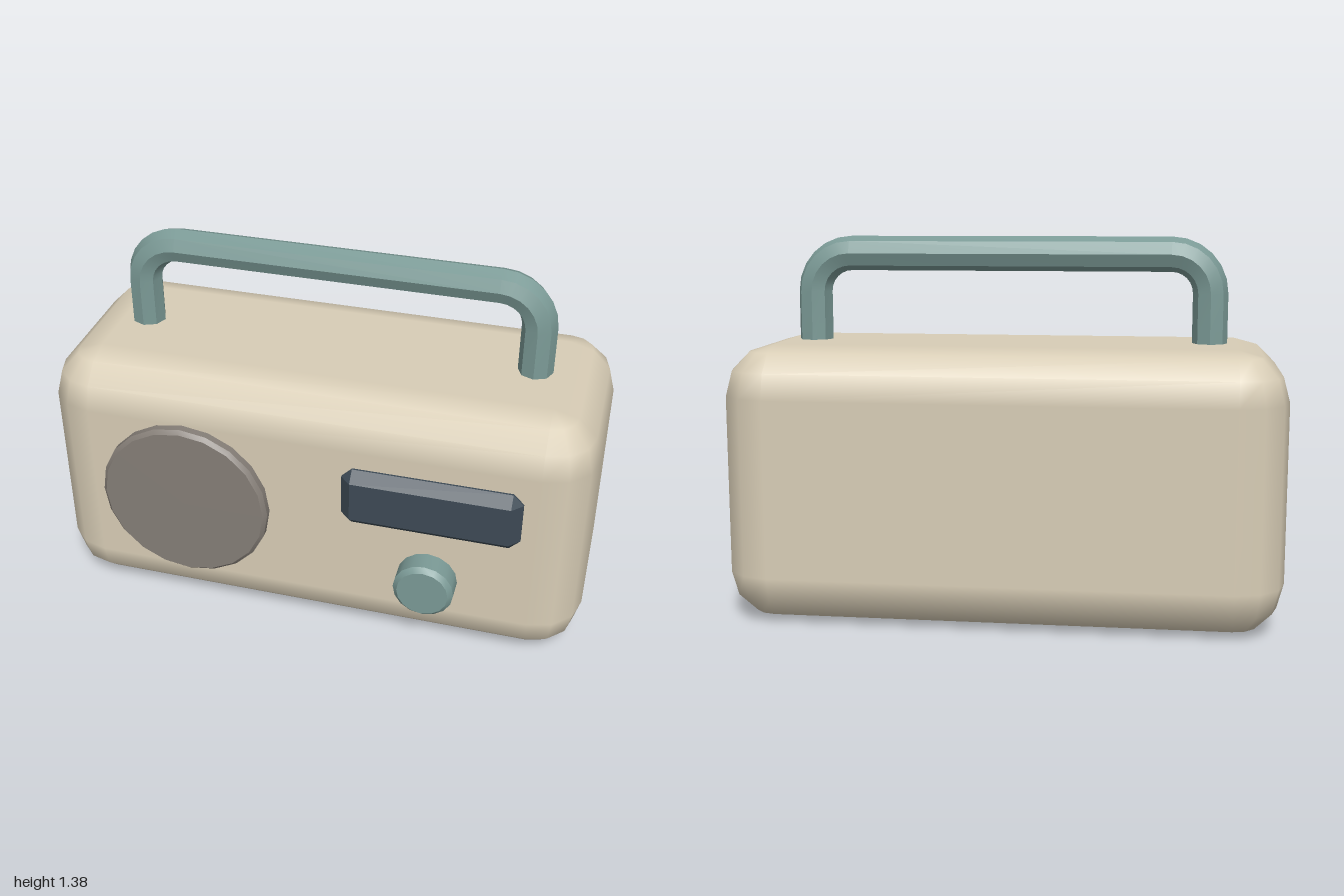
import * as THREE from 'three';
import { toCreasedNormals } from 'three/addons/utils/BufferGeometryUtils.js';

// Grid of vertices bent into shape by a rule fn(column, row) -> Vector3
function gridSurface(cols, rows, fn) {
  const geo = new THREE.PlaneGeometry(1, 1, cols, rows);
  const pos = geo.attributes.position;
  for (let r = 0, i = 0; r <= rows; r++) {
    for (let c = 0; c <= cols; c++, i++) {
      const p = fn(c, r);
      pos.setXYZ(i, p.x, p.y, p.z);
    }
  }
  geo.computeVertexNormals();
  return geo;
}

// Box whose edges are rounded in a given number of steps (1 = chamfer)
function roundedBox(w, h, d, radius, steps) {
  const n = steps + 1;
  const rows = 2 * n + 1;
  const core = new THREE.Vector3(w / 2 - radius, h / 2 - radius, d / 2 - radius);
  const normals = [];
  const geo = gridSurface(4 * n, rows, (c, r) => {
    const corner = Math.floor(c / n) % 4;
    const turn = (corner + (c % n) / steps) * Math.PI / 2;
    const isCap = r === 0 || r === rows;
    const k = Math.min(Math.max(r, 1), rows - 1) - 1;
    const upper = k < n;
    const lat = (1 - (upper ? k : k - 1) / steps) * Math.PI / 2;
    const dir = new THREE.Vector3(
      Math.cos(lat) * Math.sin(turn), Math.sin(lat), Math.cos(lat) * Math.cos(turn));
    normals.push(dir.x, dir.y, dir.z);
    const sx = isCap ? 0 : corner < 2 ? 1 : -1;
    const sz = isCap ? 0 : corner === 0 || corner === 3 ? 1 : -1;
    return new THREE.Vector3(sx * core.x, (upper ? 1 : -1) * core.y, sz * core.z)
      .addScaledVector(dir, radius);
  });
  geo.setAttribute('normal', new THREE.Float32BufferAttribute(normals, 3));
  return geo;
}

// Disc facing +z with a chamfered rim
function chamferedDisc(radius, back, front, bevel, sides) {
  const profile = [
    [radius, back], [radius, front - bevel], [radius - bevel, front], [0, front],
  ].map(([x, y]) => new THREE.Vector2(x, y));
  const geo = new THREE.LatheGeometry(profile, sides);
  geo.rotateX(Math.PI / 2);
  return toCreasedNormals(geo, 0.6);
}

// Octagonal bar: leg, bend, straight top, bend, leg
function handleGeometry() {
  const halfSpan = 0.727, top = 1.318, bend = 0.14, thick = 0.063, bendSteps = 6;
  const path = [{ x: -halfSpan, y: 0.95, a: Math.PI }];
  for (const side of [-1, 1]) {
    for (let i = 0; i <= bendSteps; i++) {
      const a = (side < 0 ? Math.PI : Math.PI / 2) - (i / bendSteps) * Math.PI / 2;
      path.push({
        x: side * (halfSpan - bend) + bend * Math.cos(a),
        y: top - bend + bend * Math.sin(a),
        a,
      });
    }
  }
  path.push({ x: halfSpan, y: 0.95, a: 0 });
  const geo = gridSurface(8, path.length - 1, (c, r) => {
    const { x, y, a } = path[r];
    const t = (c / 8) * Math.PI * 2;
    const out = thick * Math.cos(t);
    return new THREE.Vector3(
      x + out * Math.cos(a), y + out * Math.sin(a), -thick * Math.sin(t));
  });
  return toCreasedNormals(geo, 0.6);
}

export function createModel() {
  const model = new THREE.Group();
  model.name = 'portableRadio';

  const cream = new THREE.MeshStandardMaterial({ color: 0xd8cdb6 });
  const teal = new THREE.MeshStandardMaterial({ color: 0x7b9a96 });
  const grey = new THREE.MeshStandardMaterial({ color: 0x857e77 });
  const slate = new THREE.MeshStandardMaterial({ color: 0x3d4a55 });

  const add = (name, geometry, material, x, y, z) => {
    const mesh = new THREE.Mesh(geometry, material);
    mesh.name = name;
    mesh.position.set(x, y, z);
    model.add(mesh);
  };

  // Case and carrying handle
  add('body', roundedBox(2, 1, 0.82, 0.18, 3), cream, 0, 0.5, -0.045);
  add('handle', handleGeometry(), teal, 0, 0, -0.045);

  // Front panel parts
  add('speaker', chamferedDisc(0.317, 0.32, 0.407, 0.014, 20), grey, -0.457, 0.505, 0);
  add('display', toCreasedNormals(roundedBox(0.64, 0.23, 0.1, 0.038, 1), 0.5),
    slate, 0.45, 0.64, 0.36);
  add('tuningKnob', chamferedDisc(0.11, 0.32, 0.456, 0.017, 16), teal, 0.45, 0.32, 0);

  return model;
}
